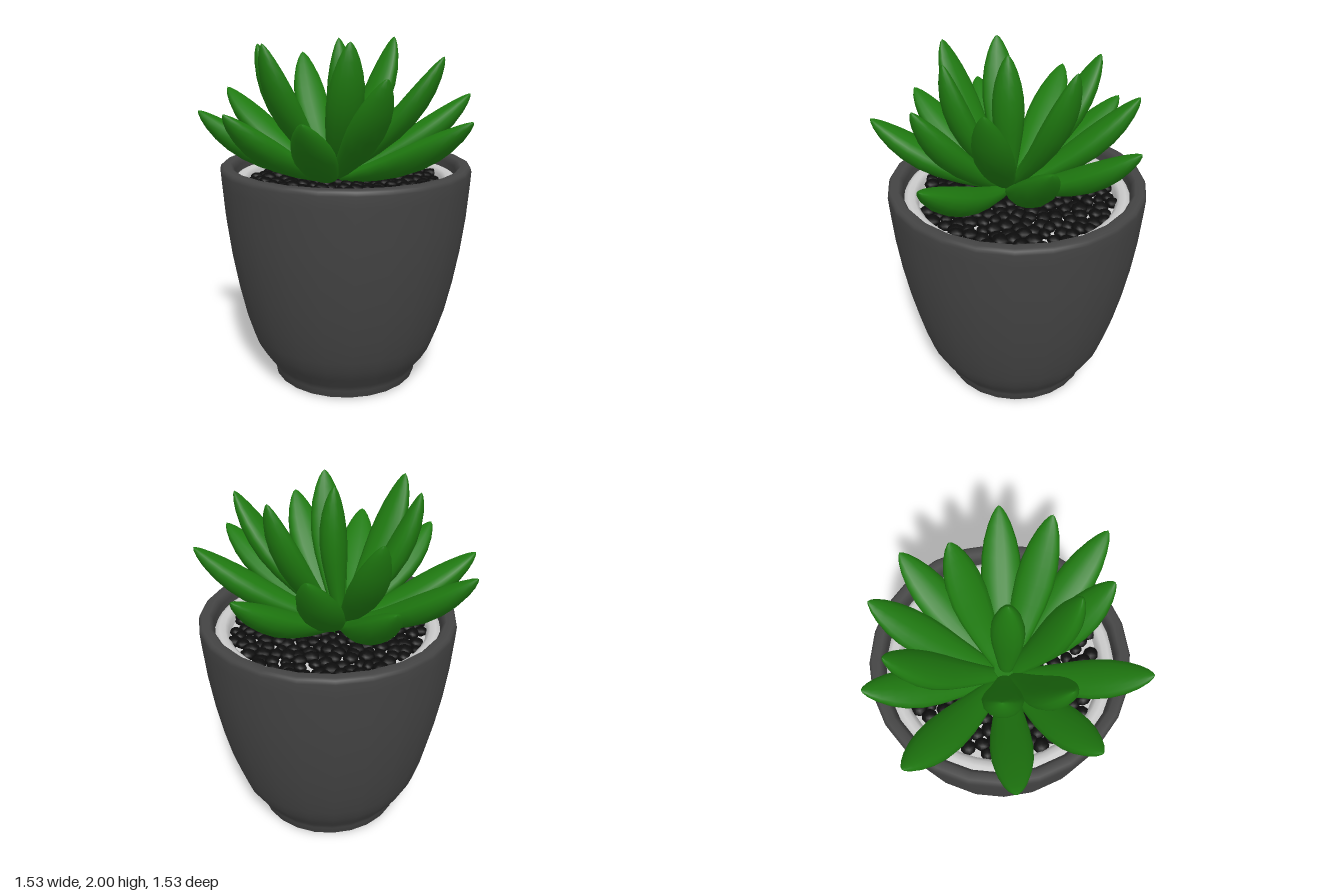
import * as THREE from 'three';
import { mergeGeometries } from 'three/addons/utils/BufferGeometryUtils.js';

const material = (color, side = THREE.FrontSide) =>
  new THREE.MeshStandardMaterial({ color, side });

function addMesh(parent, name, geometry, mat, x = 0, y = 0, z = 0) {
  const mesh = new THREE.Mesh(geometry, mat);
  mesh.name = name;
  mesh.position.set(x, y, z);
  parent.add(mesh);
  return mesh;
}

const lathe = (points, sides) =>
  new THREE.LatheGeometry(points.map(([r, y]) => new THREE.Vector2(r, y)), sides);

// Half-width of a leaf along its length, as a fraction of the widest point
const OUTLINE = [
  [0, 0], [0.02, 0.35], [0.15, 0.55], [0.3, 0.75], [0.45, 0.93], [0.58, 1], [0.7, 0.94],
  [0.8, 0.79], [0.89, 0.56], [0.95, 0.34], [0.985, 0.15], [1, 0],
];

// Fleshy leaf swept along a curve, with an almond-shaped cross-section
function leafGeometry(base, tip, width, thickness, sag) {
  const sides = 14;
  const out = new THREE.Vector3(tip.x - base.x, 0, tip.z - base.z).normalize();
  const side = new THREE.Vector3(0, 1, 0).cross(out);
  const chord = tip.clone().sub(base).normalize();
  const lift = chord.clone().cross(side);
  const control = base.clone().lerp(tip, 0.5).addScaledVector(lift, -sag);
  const curve = new THREE.QuadraticBezierCurve3(base, control, tip);
  const positions = [], index = [];
  OUTLINE.forEach(([t, scale], i) => {
    const centre = curve.getPoint(t);
    const normal = curve.getTangent(t).cross(side).normalize();
    for (let j = 0; j < sides; j++) {
      const a = (j / sides) * Math.PI * 2;
      const up = Math.sin(a) * (Math.sin(a) > 0 ? 0.75 : 1.1);
      const p = centre.clone()
        .addScaledVector(side, Math.cos(a) * width * scale)
        .addScaledVector(normal, up * thickness * scale);
      positions.push(p.x, p.y, p.z);
      if (i === OUTLINE.length - 1) continue;
      const a0 = i * sides + j, a1 = i * sides + (j + 1) % sides;
      index.push(a0, a1, a0 + sides, a1, a1 + sides, a0 + sides);
    }
  });
  const geometry = new THREE.BufferGeometry();
  geometry.setAttribute('position', new THREE.Float32BufferAttribute(positions, 3));
  geometry.setIndex(index);
  geometry.computeVertexNormals();
  return geometry;
}

// Leaf tips: x, y, z
const OUTER_TIPS = [
  [-0.77, 1.69, -0.32], [-0.42, 1.62, -0.64], [-0.01, 1.77, -0.7], [0.37, 1.62, -0.67],
  [0.73, 1.69, -0.21], [0.76, 1.61, 0.39], [-0.02, 1.63, 0.76], [-0.47, 1.64, 0.58],
  [-0.75, 1.61, 0.22], [0.34, 1.82, 0.47],
];
const INNER_TIPS = [
  [-0.33, 1.9, -0.51], [0.27, 2, -0.34], [0.59, 1.91, 0.1],
  [0.13, 1.99, 0.33], [-0.32, 1.98, 0.38], [-0.44, 1.97, 0.08],
];

export function createModel() {
  const model = new THREE.Group();
  const potX = 0.035, potZ = -0.045;
  const stemX = -0.03, stemZ = 0;

  // Pot: foot, curved wall, rounded rim and inner wall in one turned profile
  addMesh(model, 'pot', lathe([
    [0, 0], [0.415, 0], [0.43, 0.008], [0.435, 0.05], [0.45, 0.085], [0.5, 0.15],
    [0.54, 0.22], [0.565, 0.29], [0.605, 0.42], [0.645, 0.6], [0.68, 0.8],
    [0.705, 1], [0.72, 1.2], [0.724, 1.27], [0.718, 1.29], [0.705, 1.298],
    [0.665, 1.298], [0.65, 1.285], [0.642, 1.26], [0.63, 1.1],
  ], 24), material(0x444444), potX, 0, potZ);

  // Light liner ring just below the rim
  addMesh(model, 'linerRing', lathe([
    [0.645, 1.2], [0.632, 1.225], [0.61, 1.235], [0.58, 1.23], [0.56, 1.21], [0.55, 1.14],
  ], 48), material(0xcccccc, THREE.DoubleSide), potX, 0, potZ);

  // Light bed showing between the pebbles
  const bed = new THREE.CircleGeometry(0.6, 40).rotateX(-Math.PI / 2);
  addMesh(model, 'soilBed', bed, material(0xcccccc), potX, 1.17, potZ);

  // Black pebbles in a sunflower spiral with seeded jitter
  let seed = 7;
  const random = () => (seed = (seed * 16807) % 2147483647) / 2147483647;
  const pebbles = [];
  for (let i = 0; i < 210; i++) {
    const r = 0.545 * Math.sqrt((i + 0.5) / 210), a = i * 2.39996;
    const size = 0.036 + 0.012 * random();
    const pebble = new THREE.SphereGeometry(size, 9, 6);
    pebble.scale(1, 0.65, 0.8 + 0.3 * random());
    pebble.rotateY(random() * Math.PI);
    pebble.translate(
      r * Math.cos(a) + (random() - 0.5) * 0.02,
      1.18 + random() * 0.02,
      r * Math.sin(a) + (random() - 0.5) * 0.02);
    pebbles.push(pebble);
  }
  addMesh(model, 'pebbles', mergeGeometries(pebbles), material(0x0c0c0c), potX, 0, potZ);

  // Rosette of leaves
  const rosette = new THREE.Group();
  rosette.name = 'rosette';
  model.add(rosette);
  const green = material(0x1f7a10);
  const addLeaves = (name, tips, baseY, width, thickness, sag) =>
    tips.forEach(([x, y, z], i) => {
      const base = new THREE.Vector3(stemX + (x - stemX) * 0.04, baseY, stemZ + (z - stemZ) * 0.04);
      const geometry = leafGeometry(base, new THREE.Vector3(x, y, z), width, thickness, sag);
      addMesh(rosette, `${name}${i + 1}`, geometry, green);
    });
  addLeaves('outerLeaf', OUTER_TIPS, 1.22, 0.112, 0.082, 0.09);
  addLeaves('innerLeaf', INNER_TIPS, 1.24, 0.105, 0.075, 0.1);
  addLeaves('centreLeaf', [[0.005, 2, 0.005]], 1.25, 0.09, 0.08, 0.02);

  // Short stem joining the leaf bases
  addMesh(rosette, 'stem', new THREE.CylinderGeometry(0.06, 0.07, 0.16, 12), green, stemX, 1.22, stemZ);

  return model;
}
